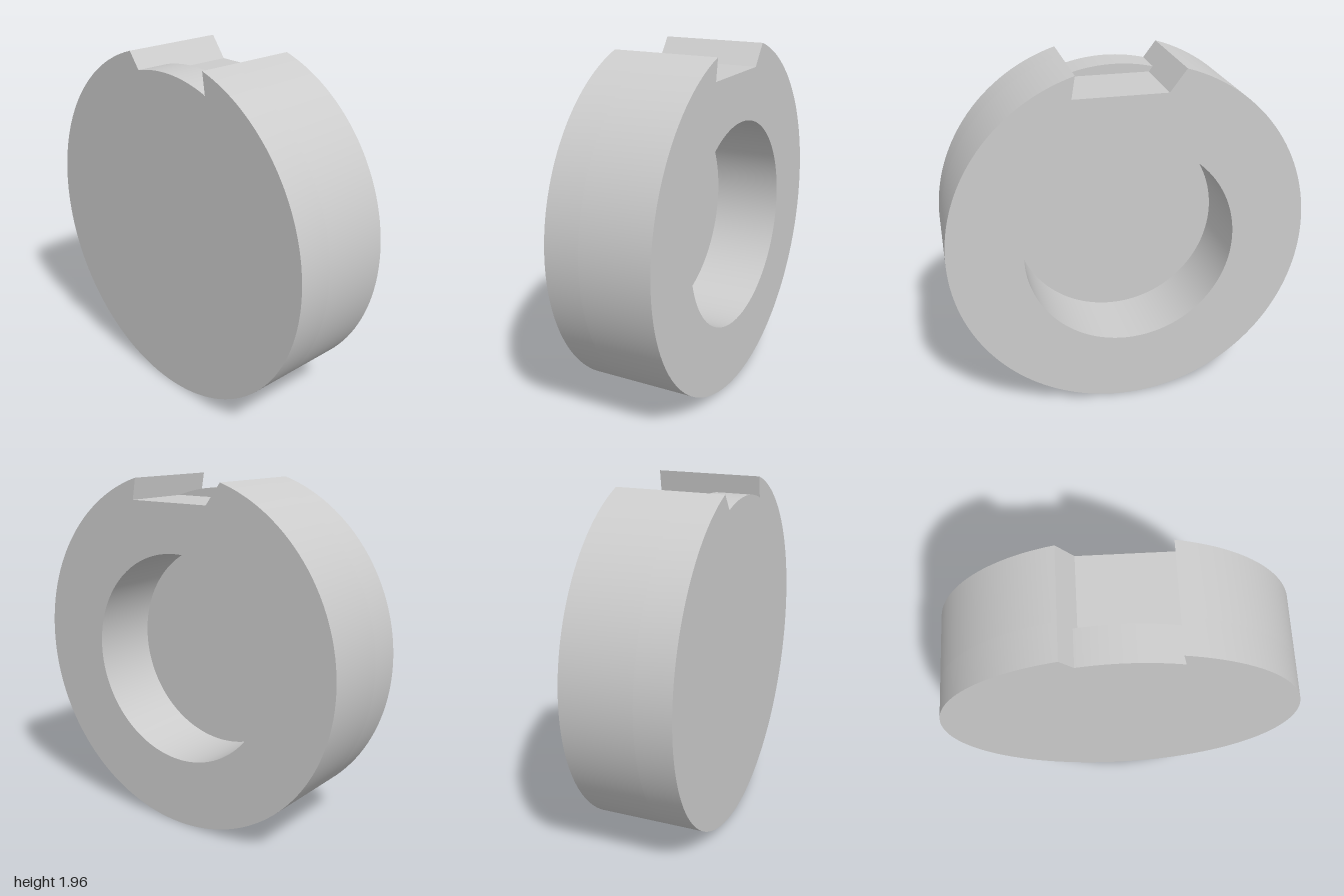
import * as THREE from 'three';
import { toCreasedNormals } from 'three/addons/utils/BufferGeometryUtils.js';

const RIM = 1, FLOOR = 0.893, CY = 1;

// Notch corners relative to the disc centre
const onCircle = (x, r) => [x, Math.sqrt(r * r - x * x)];
const leftLip = onCircle(-0.29, RIM);
const rightLip = onCircle(0.29, RIM);
const leftFoot = onCircle(-0.22, FLOOR);
const rightFoot = onCircle(0.31, FLOOR);
const angle = ([x, y]) => Math.atan2(y, x);

// Disc outline up to the notch; the floor is curved or flat
function notchedDisc(leftFloor, curved) {
  const s = new THREE.Shape();
  s.moveTo(...rightFoot);
  s.lineTo(...rightLip);
  s.absarc(0, 0, RIM, angle(rightLip), angle(leftLip) - 2 * Math.PI, true);
  s.lineTo(...leftFloor);
  if (curved) s.absarc(0, 0, FLOOR, angle(leftFloor), angle(rightFoot), true);
  s.closePath();
  return s;
}

function slab(name, shape, z0, z1, material) {
  const geo = new THREE.ExtrudeGeometry(shape, { depth: z1 - z0, bevelEnabled: false, curveSegments: 64 });
  const mesh = new THREE.Mesh(toCreasedNormals(geo, 0.3), material);
  mesh.name = name;
  mesh.position.set(0, CY, z0);
  return mesh;
}

export function createModel() {
  const group = new THREE.Group();
  group.name = 'notchedCap';
  const grey = new THREE.MeshStandardMaterial({ color: 0xcccccc });
  grey.name = 'lightGrey';

  // Solid front plate, notch floor follows the rim
  group.add(slab('frontPlate', notchedDisc(leftFoot, true), 0.1, 0.3, grey));

  // Back ring with a flat notch floor: its left wall continues the plate's wall down to floor height
  const t = (rightFoot[1] - leftLip[1]) / (leftFoot[1] - leftLip[1]);
  const ring = notchedDisc([leftLip[0] + t * (leftFoot[0] - leftLip[0]), rightFoot[1]], false);
  // Round recess, slightly below the disc centre
  ring.holes.push(new THREE.Path().absarc(0, -0.021, 0.588, 0, 2 * Math.PI, false));
  group.add(slab('backRing', ring, -0.3, 0.1, grey));

  return group;
}
